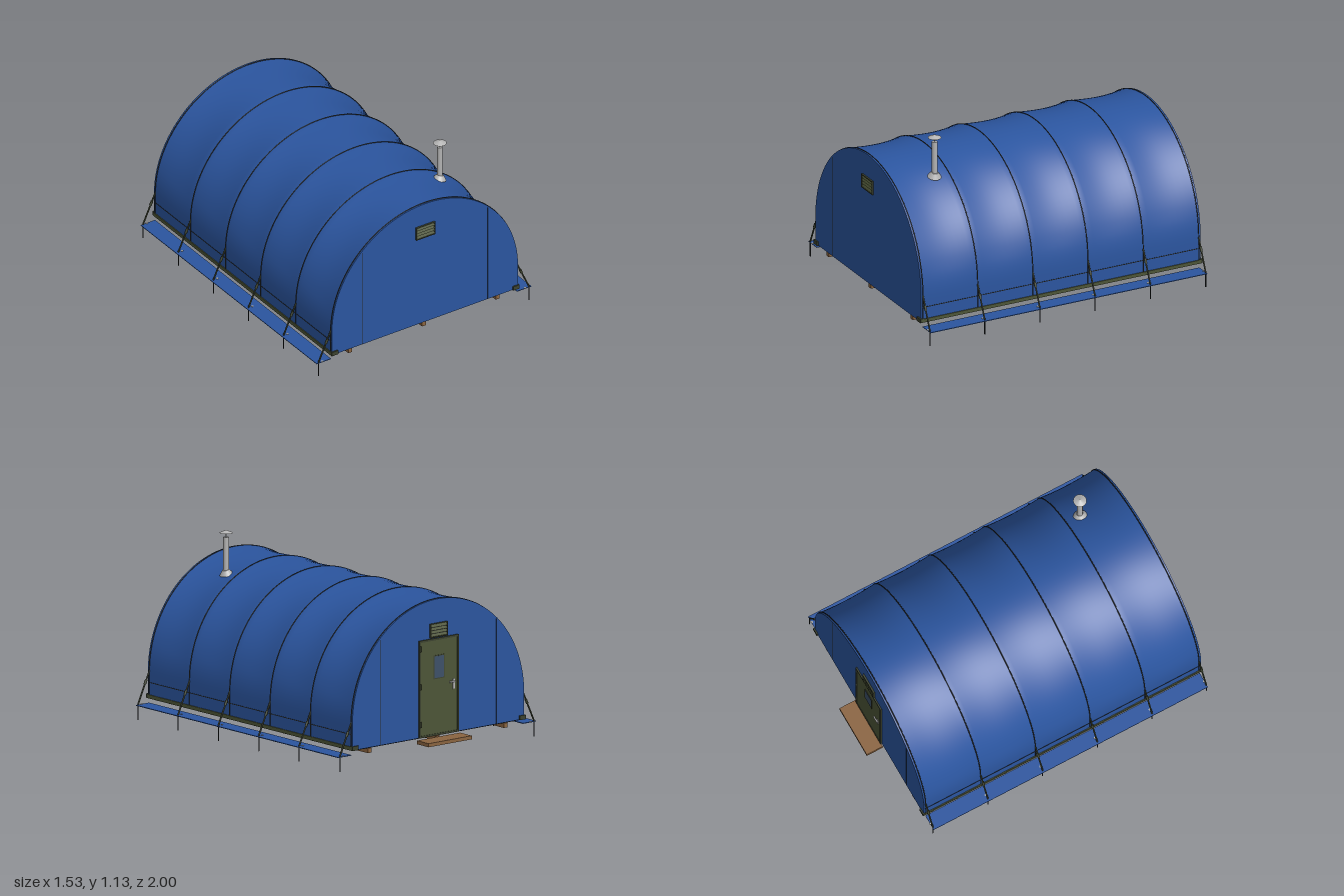
import * as THREE from 'three';

const mat = (color, side = THREE.FrontSide) => new THREE.MeshStandardMaterial({ color, side });
const BLUE = mat(0x2b559f), FABRIC = mat(0x2b559f, THREE.DoubleSide);
const OLIVE = mat(0x4d5537), FRAME = mat(0x3c422f), DARK = mat(0x25282a), WOOD = mat(0x8a6440);
const METAL = mat(0xb4b4b4), GLASS = mat(0x3d5068);

const R = 0.665, BASE = 0.12, SPRING = 0.28;       // arch radius, wall foot, arch springing
const FRONT = 0.98, BACK = -0.885;
const BAYS = 5, RIBS = [0.972, 0.605, 0.235, -0.135, -0.505, -0.877];

export function createModel() {
  const model = new THREE.Group();

  function add(name, geometry, material, x = 0, y = 0, z = 0, parent = model) {
    const mesh = new THREE.Mesh(geometry, material);
    mesh.name = name;
    mesh.position.set(x, y, z);
    parent.add(mesh);
    return mesh;
  }
  const box = (name, w, h, d, material, x, y, z, parent) =>
    add(name, new THREE.BoxGeometry(w, h, d), material, x, y, z, parent);

  // thin round bar between two points
  function bar(name, a, b, radius, material, parent = model) {
    const from = new THREE.Vector3(...a), to = new THREE.Vector3(...b);
    const dir = to.clone().sub(from);
    const mesh = add(name, new THREE.CylinderGeometry(radius, radius, dir.length(), 8), material, 0, 0, 0, parent);
    mesh.position.copy(from).add(to).multiplyScalar(0.5);
    mesh.quaternion.setFromUnitVectors(new THREE.Vector3(0, 1, 0), dir.normalize());
    return mesh;
  }

  // point on the arch outline, s from 0 (right foot) to 1 (left foot)
  const wall = SPRING - BASE, length = Math.PI * R + 2 * wall;
  function outline(s, sag = 0) {
    const d = s * length;
    if (d < wall) return [R, BASE + d];
    if (d > length - wall) return [-R, BASE + length - d];
    const a = (d - wall) / R;
    const r = R - sag * (0.15 + 0.85 * Math.sin(2 * a) ** 2);
    // the sag fades out into the straight side walls
    const rr = R + (r - R) * Math.min(1, Math.sin(a) * 4);
    return [rr * Math.cos(a), SPRING + rr * Math.sin(a)];
  }

  // fabric cover, dipping between the ribs
  const cover = new THREE.PlaneGeometry(1, 1, 72, BAYS * 10);
  const p = cover.attributes.position;
  for (let i = 0; i < p.count; i++) {
    const t = p.getY(i) + 0.5;
    const sag = 0.022 * Math.abs(Math.sin(Math.PI * BAYS * t));
    const [x, y] = outline(0.5 - p.getX(i), sag);
    p.setXYZ(i, x, y, FRONT + (BACK - FRONT) * t);
  }
  cover.computeVertexNormals();
  add('cover', cover, FABRIC);

  // end walls with seams
  const arch = new THREE.Shape();
  for (let i = 0; i <= 72; i++) {
    const [x, y] = outline(i / 72);
    i ? arch.lineTo(x, y) : arch.moveTo(x, y);
  }
  arch.closePath();
  for (const [name, z, out] of [['frontWall', FRONT, 1], ['backWall', BACK, -1]]) {
    const geometry = new THREE.ExtrudeGeometry(arch, { depth: 0.008, bevelEnabled: false });
    add(name, geometry, BLUE, 0, 0, out > 0 ? z - 0.003 : z - 0.005);
    for (const x of [-0.45, 0.45])
      box('wallSeam', 0.003, 0.64, 0.002, DARK, x, 0.44, z + out * 0.005);
  }

  // rib straps over the cover
  for (const z of RIBS) {
    const pts = [];
    for (let i = 0; i <= 40; i++) pts.push(new THREE.Vector3(...outline(i / 40), z));
    add('ribStrap', new THREE.TubeGeometry(new THREE.CatmullRomCurve3(pts), 72, 0.0032, 6), DARK);
  }

  // floor with wooden skids
  box('floor', 2 * R - 0.01, 0.01, FRONT - BACK - 0.01, DARK, 0, 0.12, 0.0475);
  for (const x of [-0.527, 0, 0.527])
    box('skid', 0.028, 0.028, 1.86, WOOD, x, 0.1, 0.045);

  // both long sides: rail, hem, ground flap, stakes and guy ropes
  for (const s of [-1, 1]) {
    const side = new THREE.Group();
    side.name = s > 0 ? 'leftSide' : 'rightSide';
    model.add(side);
    box('baseRail', 0.014, 0.022, 1.87, OLIVE, s * 0.664, 0.13, 0.0475, side);
    box('hemSeam', 0.003, 0.004, 1.86, DARK, s * 0.6655, 0.215, 0.0475, side);
    box('groundFlap', 0.102, 0.004, 1.855, BLUE, s * 0.716, 0.09, 0.0475, side);
    for (const z of [FRONT + 0.002, BACK - 0.002])
      box('cornerBracket', 0.045, 0.026, 0.024, FRAME, s * 0.648, 0.132, z, side);
    for (const z of RIBS) {
      bar('stake', [s * 0.752, 0, z], [s * 0.752, 0.1, z], 0.0032, DARK, side);
      bar('guyRope', [s * 0.662, 0.29, z], [s * 0.752, 0.095, z], 0.005, FRAME, side);
      bar('tensioner', [s * 0.688, 0.234, z], [s * 0.7, 0.208, z], 0.008, FRAME, side);
      add('eyelet', new THREE.CylinderGeometry(0.007, 0.007, 0.004, 12), METAL, s * 0.725, 0.093, z, side);
    }
  }

  // louvred vents at both ends
  for (const [name, z, turn] of [['frontVent', FRONT + 0.005, 0], ['backVent', BACK - 0.005, Math.PI]]) {
    const vent = new THREE.Group();
    vent.name = name;
    vent.position.set(0, 0.758, z);
    vent.rotation.y = turn;
    model.add(vent);
    box('ventBack', 0.125, 0.08, 0.004, DARK, 0, 0, 0.002, vent);
    for (const s of [-1, 1]) {
      box('ventSide', 0.006, 0.086, 0.011, FRAME, s * 0.064, 0, 0.0055, vent);
      box('ventEdge', 0.134, 0.006, 0.011, FRAME, 0, s * 0.04, 0.0055, vent);
    }
    for (let i = 0; i < 4; i++)
      box('louvre', 0.122, 0.016, 0.003, OLIVE, 0, -0.028 + i * 0.0187, 0.006, vent).rotation.x = -0.45;
  }

  // door in the back wall, drawn facing +z and turned round
  const door = new THREE.Group();
  door.name = 'door';
  door.position.z = BACK - 0.005;
  door.rotation.y = Math.PI;
  model.add(door);
  box('doorLeaf', 0.28, 0.57, 0.006, OLIVE, 0, 0.415, 0.003, door);
  for (const s of [-1, 1])
    box('doorJamb', 0.012, 0.59, 0.009, FRAME, s * 0.146, 0.415, 0.0045, door);
  for (const y of [0.126, 0.704])
    box('doorRail', 0.304, 0.012, 0.009, FRAME, 0, y, 0.0045, door);
  box('windowFrame', 0.084, 0.144, 0.008, FRAME, 0, 0.535, 0.004, door);
  box('windowPane', 0.072, 0.132, 0.009, GLASS, 0, 0.535, 0.0045, door);
  for (const y of [0.2, 0.43, 0.66])
    bar('hinge', [-0.142, y - 0.017, 0.009], [-0.142, y + 0.017, 0.009], 0.006, FRAME, door);
  box('handlePlate', 0.016, 0.06, 0.004, METAL, 0.112, 0.415, 0.008, door);
  box('handleLever', 0.042, 0.009, 0.008, METAL, 0.1, 0.43, 0.014, door);

  // wooden step below the door
  box('step', 0.334, 0.022, 0.108, WOOD, 0, 0.098, -0.946);

  // stove chimney
  const chimney = new THREE.Group();
  chimney.name = 'chimney';
  chimney.position.set(0.3, 0, 0.7);
  model.add(chimney);
  add('pipe', new THREE.CylinderGeometry(0.017, 0.017, 0.25, 24), METAL, 0, 0.965, 0, chimney);
  const flashing = add('flashing', new THREE.CylinderGeometry(0.02, 0.042, 0.03, 24), METAL, 0, 0.878, 0, chimney);
  flashing.rotation.z = -0.25;
  bar('capStem', [0, 1.085, 0], [0, 1.12, 0], 0.003, METAL, chimney);
  add('rainCap', new THREE.ConeGeometry(0.04, 0.018, 24), METAL, 0, 1.125, 0, chimney);

  return model;
}
